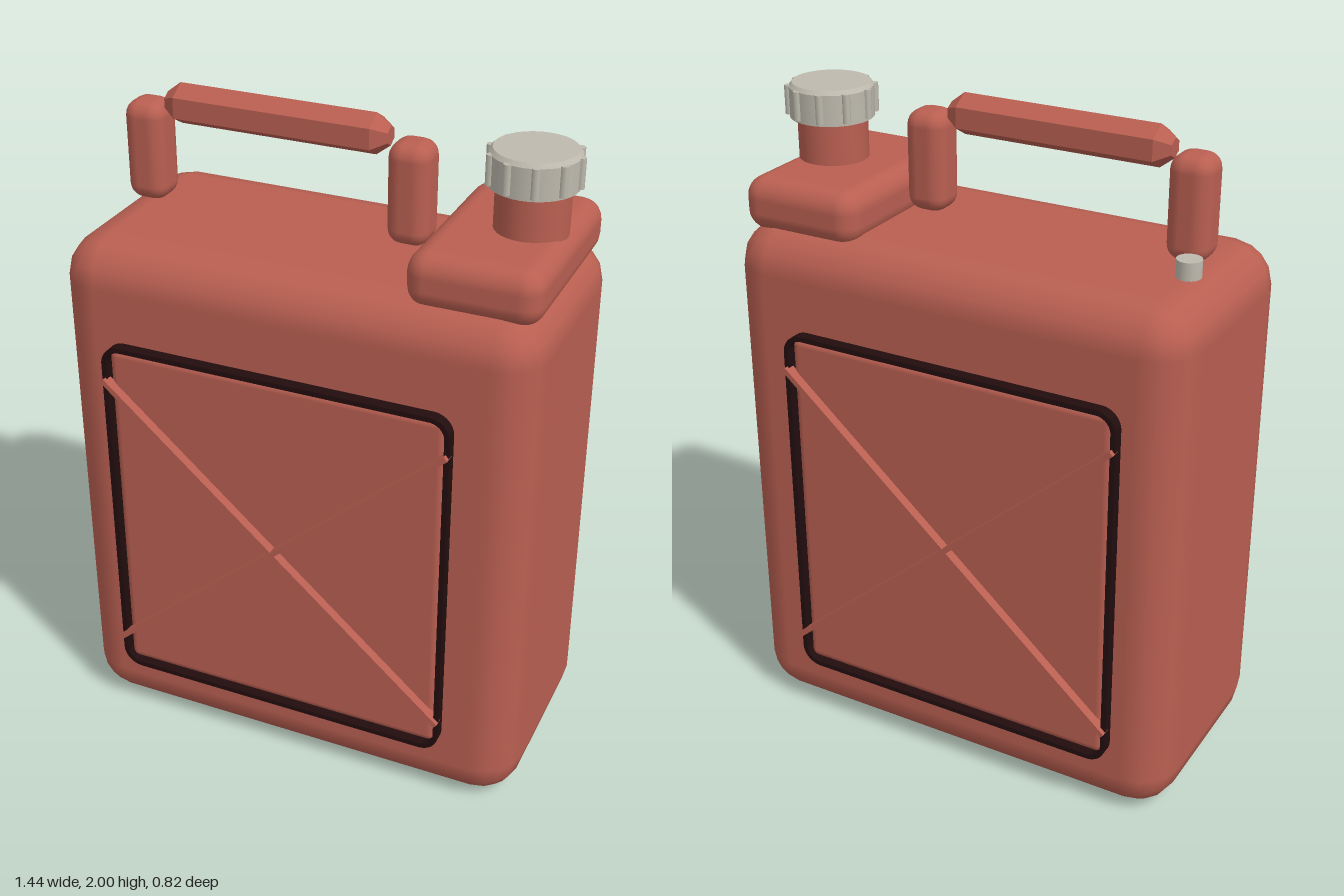
import * as THREE from 'three';
import { RoundedBoxGeometry } from 'three/addons/geometries/RoundedBoxGeometry.js';

const mat = (name, color) => {
  const m = new THREE.MeshStandardMaterial({ color });
  m.name = name;
  return m;
};

// Outline of a rounded rectangle centred on the origin
function roundedRect(target, w, h, r) {
  const x = w / 2 - r, y = h / 2 - r;
  target.absarc(x, y, r, 0, Math.PI / 2);
  target.absarc(-x, y, r, Math.PI / 2, Math.PI);
  target.absarc(-x, -y, r, Math.PI, Math.PI * 1.5);
  target.absarc(x, -y, r, Math.PI * 1.5, Math.PI * 2);
  target.closePath();
  return target;
}

export function createModel() {
  const group = new THREE.Group();
  group.name = 'fuelCan';
  const red = mat('redPaint', 0xb95f51);
  const dark = mat('darkTrim', 0x220d0e);
  const metal = mat('paleMetal', 0xbdb9ad);

  const add = (name, geometry, material, x, y, z, parent = group) => {
    const mesh = new THREE.Mesh(geometry, material);
    mesh.name = name;
    mesh.position.set(x, y, z);
    parent.add(mesh);
    return mesh;
  };

  // Tank and raised filler shoulder
  add('tank', new RoundedBoxGeometry(1.44, 1.615, 0.72, 2, 0.13), red, 0, 0.8125, 0);
  add('fillerShoulder', new RoundedBoxGeometry(0.38, 0.16, 0.6, 3, 0.06), red, 0.508, 1.667, 0);

  // Side panels: dark rim, pressed field and crossed ribs, front and back
  const w = 1.06, h = 1.14, cx = -0.025, cy = 0.77;
  const rimShape = roundedRect(new THREE.Shape(), w, h, 0.06);
  rimShape.holes.push(roundedRect(new THREE.Path(), w - 0.03, h - 0.03, 0.045));
  const rimGeo = new THREE.ExtrudeGeometry(rimShape, { depth: 0.045, bevelEnabled: false, curveSegments: 6 });
  rimGeo.translate(0, 0, -0.0225);
  const fieldGeo = new RoundedBoxGeometry(w - 0.03, h - 0.03, 0.06, 3, 0.025);
  const ribLength = Math.hypot(w, 0.93), ribAngle = Math.atan2(0.93, w);
  const ribGeo = new THREE.BoxGeometry(ribLength - 0.012, 0.016, 0.034);
  for (const side of [1, -1]) {
    const panel = new THREE.Group();
    panel.name = side > 0 ? 'frontPanel' : 'backPanel';
    group.add(panel);
    add('panelRim', rimGeo, dark, cx, cy, side * 0.3725, panel);
    add('panelField', fieldGeo, red, cx, cy, side * 0.35, panel);
    for (const tilt of [1, -1]) {
      add('crossRib', ribGeo, red, cx, cy, side * 0.392, panel).rotation.z = tilt * ribAngle;
    }
  }

  // Handle: two posts and a six-sided grip with tapered ends
  const postGeo = new RoundedBoxGeometry(0.125, 0.295, 0.125, 3, 0.045);
  for (const x of [-0.577, 0.232]) add('handlePost', postGeo, red, x, 1.792, 0);
  const gripProfile = [[0, -0.34], [0.028, -0.34], [0.06, -0.298], [0.06, 0.298], [0.028, 0.34], [0, 0.34]]
    .map(([r, y]) => new THREE.Vector2(r, y));
  const gripGeo = new THREE.LatheGeometry(gripProfile, 6).toNonIndexed();
  gripGeo.rotateY(Math.PI / 2).rotateZ(Math.PI / 2);
  gripGeo.computeVertexNormals();
  add('handleGrip', gripGeo, red, -0.175, 1.94, 0);

  // Neck and ribbed screw cap
  const capX = 0.572;
  add('neck', new THREE.CylinderGeometry(0.103, 0.103, 0.15, 32), red, capX, 1.81, 0);
  const cap = new THREE.Group();
  cap.name = 'screwCap';
  cap.position.set(capX, 1.92, 0);
  group.add(cap);
  add('capBody', new THREE.CylinderGeometry(0.124, 0.124, 0.09, 32), metal, 0, -0.005, 0, cap);
  add('capTop', new THREE.CylinderGeometry(0.114, 0.124, 0.012, 32), metal, 0, 0.046, 0, cap);
  const capRibGeo = new THREE.CylinderGeometry(0.012, 0.012, 0.085, 8);
  for (let i = 0; i < 10; i++) {
    const a = (i / 10) * Math.PI * 2;
    add('capRib', capRibGeo, metal, Math.cos(a) * 0.124, 0, Math.sin(a) * 0.124, cap);
  }

  // Small vent knob beside the rear of the handle
  add('ventKnob', new THREE.CylinderGeometry(0.035, 0.035, 0.05, 20), metal, -0.643, 1.69, -0.172);

  return group;
}
